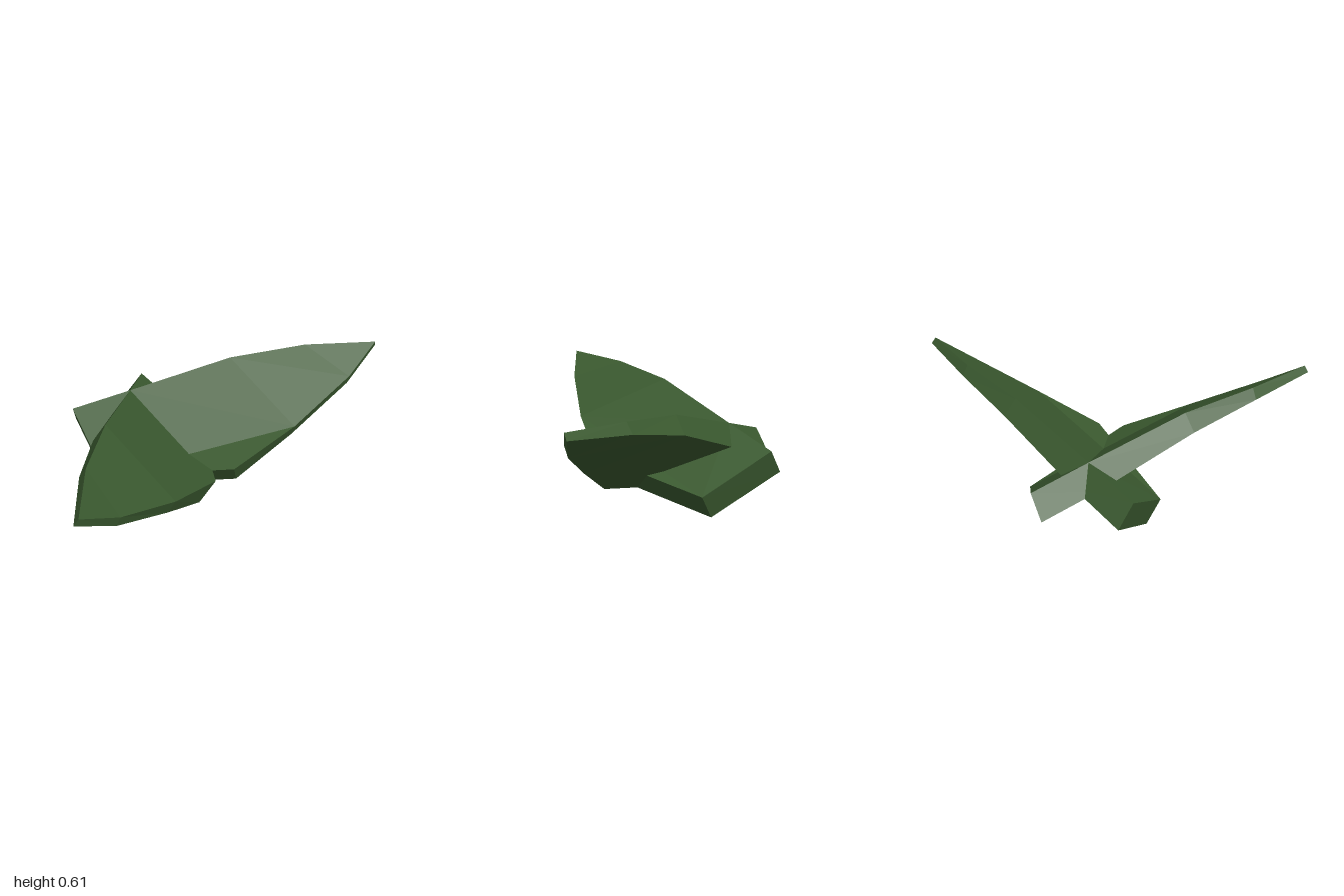
import * as THREE from 'three';

// Outline corners, [upper x, y, z, lower x, y, z], for the blade whose long end points to -z
const OUTLINE = [
  [-0.28, 0.40, 0, -0.333, 0.28, -0.06],        // 0 nose
  [0.015, 0.545, -0.42, -0.02, 0.46, -0.47],    // 1 leading edge
  [0.245, 0.59, -0.73, 0.22, 0.538, -0.75],     // 2
  [0.495, 0.61, -0.98, 0.485, 0.58, -1.0],      // 3 tip
  [0.505, 0.50, -0.77, 0.49, 0.45, -0.78],      // 4 trailing edge
  [0.465, 0.35, -0.41, 0.435, 0.28, -0.43],     // 5
  [0.387, 0.228, -0.065, 0.345, 0.11, -0.13],   // 6 rear corner
  [-0.115, 0.12, 0.33, -0.165, 0, 0.27],        // 7 fin corner
  [-0.455, 0.315, 0.24, -0.51, 0.195, 0.18],    // 8 fin front corner
];
// Faceting shared by the upper and lower skins
const SKIN = [[0, 7, 8], [0, 5, 7], [5, 6, 7], [0, 1, 5], [1, 4, 5], [1, 2, 4], [2, 3, 4]];

// A tapered slab: upper skin, lower skin and rim; side = -1 mirrors it across z
function bladeGeometry(side) {
  const n = OUTLINE.length;
  const positions = [];
  for (const c of OUTLINE) positions.push(c[0], c[1], c[2] * side);
  for (const c of OUTLINE) positions.push(c[3], c[4], c[5] * side);
  const index = [];
  const tri = (a, b, c) => (side > 0 ? index.push(a, b, c) : index.push(a, c, b));
  for (const [a, b, c] of SKIN) {
    tri(a, c, b);
    tri(a + n, b + n, c + n);
  }
  for (let i = 0; i < n; i++) {
    const j = (i + 1) % n;
    tri(i, j, j + n);
    tri(i, j + n, i + n);
  }
  const indexed = new THREE.BufferGeometry();
  indexed.setAttribute('position', new THREE.Float32BufferAttribute(positions, 3));
  indexed.setIndex(index);
  const geometry = indexed.toNonIndexed();
  geometry.computeVertexNormals();
  return geometry;
}

export function createModel() {
  const group = new THREE.Group();
  group.name = 'crossedBlades';
  const green = new THREE.MeshStandardMaterial({ color: 0x3b5a30, flatShading: true });
  green.name = 'leafGreen';

  // Two mirrored blades cross along the centre line
  for (const [name, side] of [['backBlade', 1], ['frontBlade', -1]]) {
    const blade = new THREE.Mesh(bladeGeometry(side), green);
    blade.name = name;
    group.add(blade);
  }
  return group;
}
